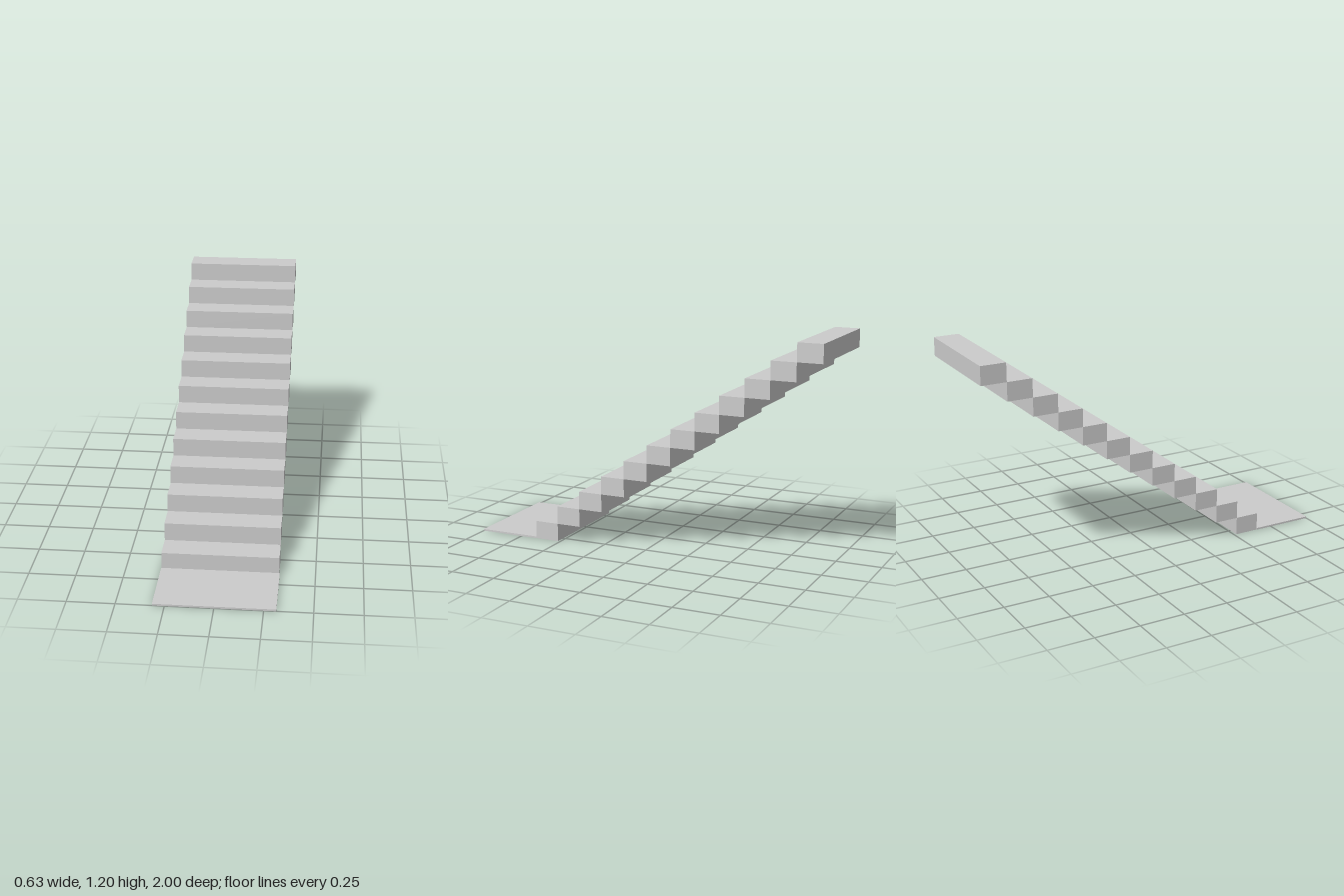
import * as THREE from 'three';

export function createModel() {
  const group = new THREE.Group();
  group.name = 'staircase';
  const material = new THREE.MeshStandardMaterial({ color: 0xcccccc, flatShading: true });

  // Box placed by its base height and its front edge
  function addBlock(name, width, height, depth, baseY, frontZ) {
    const mesh = new THREE.Mesh(new THREE.BoxGeometry(width, height, depth), material);
    mesh.name = name;
    mesh.position.set(0, baseY + height / 2, frontZ - depth / 2);
    group.add(mesh);
  }

  const stepCount = 12;
  const rise = 0.1004;
  const firstZ = 0.652;
  const run = (firstZ + 1) / stepCount;

  // Thin landing plate, slightly wider than the steps
  addBlock('landing', 0.626, 0.01, 1 - firstZ, 0, 1);

  // Floating block steps meeting edge to edge
  for (let i = 0; i < stepCount; i++) {
    addBlock(`step${i + 1}`, 0.62, rise, run, i * rise, firstZ - i * run);
  }
  return group;
}
